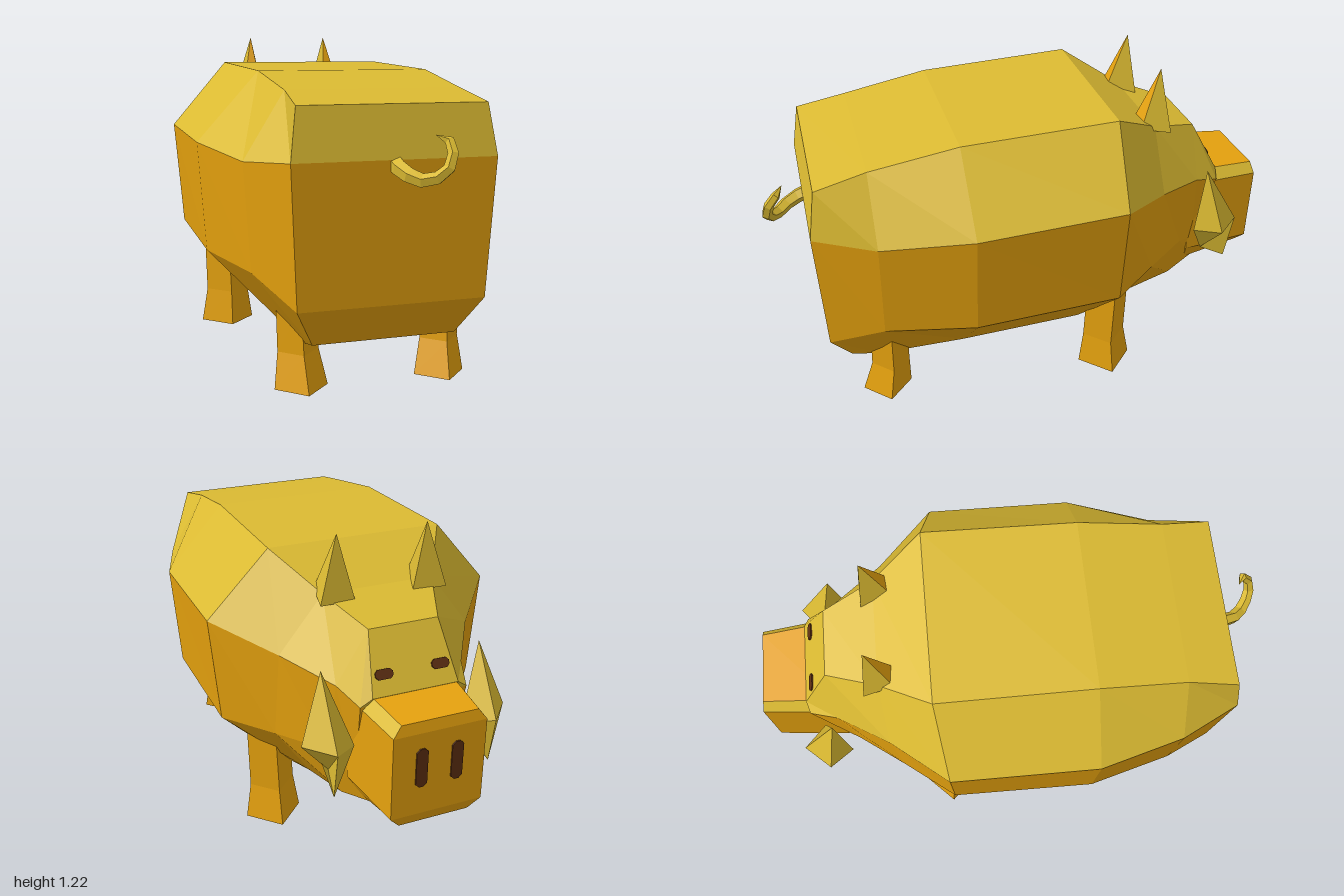
import * as THREE from 'three';

// Lofts equal-sized even rings (clockwise seen from the first end) into a flat-faced closed skin.
// tint(j) picks material 0 or 1 for the band after ring point j; cap(j) for the end strips.
function loft(rings, tint = () => 0, cap = tint) {
  const lists = [[], []];
  const quad = (m, a, b, c, d) => lists[m].push(...a, ...b, ...c, ...a, ...c, ...d);
  const n = rings[0].length;
  for (let i = 0; i < rings.length - 1; i++) {
    for (let j = 0; j < n; j++) {
      const k = (j + 1) % n;
      quad(tint(j), rings[i][j], rings[i][k], rings[i + 1][k], rings[i + 1][j]);
    }
  }
  const s = rings[0], e = rings[rings.length - 1];
  for (let j = 0; j < n / 2 - 1; j++) {
    quad(cap(j), s[j], s[n - 1 - j], s[n - 2 - j], s[j + 1]);
    quad(cap(j), e[j + 1], e[n - 2 - j], e[n - 1 - j], e[j]);
  }
  const geo = new THREE.BufferGeometry();
  geo.setAttribute('position', new THREE.Float32BufferAttribute([...lists[0], ...lists[1]], 3));
  geo.addGroup(0, lists[0].length / 3, 0);
  geo.addGroup(lists[0].length / 3, lists[1].length / 3, 1);
  geo.computeVertexNormals();
  return geo;
}

const flip = ([x, y, z]) => [-x, y, z];
// Completes a half ring (top to bottom on +x) with its mirror image
const fullRing = half => [...half, ...half.map(flip).reverse()];
const mirrorRings = rings => rings.map(r => r.map(flip).reverse());

export function createModel() {
  const model = new THREE.Group();
  const yellow = new THREE.MeshStandardMaterial({ color: 0xdcbb32, flatShading: true });
  const orange = new THREE.MeshStandardMaterial({ color: 0xe6a20e, flatShading: true });
  const brown = new THREE.MeshStandardMaterial({ color: 0x5c2e12 });
  yellow.name = 'yellow hide';
  orange.name = 'orange hide';
  brown.name = 'dark brown';

  const add = (name, geo, mat) => {
    const mesh = new THREE.Mesh(geo, mat);
    mesh.name = name;
    model.add(mesh);
    return mesh;
  };
  const addPair = (name, rings, mat, tint) => {
    add(name + 'Left', loft(rings, tint), mat);
    add(name + 'Right', loft(mirrorRings(rings), tint), mat);
  };
  const upperBands = j => (j === 0 || j === 6 || j === 7 ? 0 : 1);

  // Body and head: octagonal sections from rump to muzzle (top, upper side, lower side, belly)
  const body = [
    [[0.335, 1.0, 0.81], [0.36, 0.82, 0.84], [0.335, 0.33, 0.82], [0.26, 0.19, 0.74]],
    [[0.32, 1.04, 0.62], [0.465, 0.805, 0.62], [0.44, 0.425, 0.62], [0.26, 0.165, 0.63]],
    [[0.33, 1.095, 0.29], [0.56, 0.84, 0.29], [0.53, 0.44, 0.29], [0.26, 0.16, 0.29]],
    [[0.335, 1.115, -0.3], [0.56, 0.86, -0.27], [0.525, 0.455, -0.27], [0.26, 0.175, -0.2]],
    [[0.21, 1.0, -0.5], [0.37, 0.79, -0.49], [0.38, 0.46, -0.46], [0.22, 0.22, -0.4]],
    [[0.13, 0.94, -0.7], [0.24, 0.745, -0.69], [0.25, 0.465, -0.64], [0.19, 0.265, -0.63]],
    [[0.16, 0.74, -0.81], [0.2, 0.71, -0.8], [0.18, 0.42, -0.73], [0.13, 0.29, -0.76]],
  ].map(fullRing);
  add('body', loft(body, upperBands, j => (j === 0 ? 0 : 1)), [yellow, orange]);

  // Snout with yellow upper bevels
  const snout = [
    [[0.165, 0.745, -0.7], [0.2, 0.7, -0.7], [0.2, 0.38, -0.7], [0.15, 0.3, -0.72]],
    [[0.14, 0.73, -0.98], [0.17, 0.69, -0.988], [0.17, 0.38, -0.988], [0.13, 0.335, -0.97]],
  ].map(fullRing);
  add('snout', loft(snout, j => (j === 0 || j === 6 ? 0 : 1), () => 1), [yellow, orange]);

  // Legs: square posts turned 45 degrees, flared at the foot; each level is [y, radius, x, z]
  const leg = levels => levels.map(([y, r, x, z]) => [0, 1, 2, 3].map(k => {
    const a = k * Math.PI / 2;
    return [x + r * Math.cos(a), y, z - r * Math.sin(a)];
  }));
  addPair('frontLeg', leg([
    [0, 0.11, 0.34, -0.295], [0.14, 0.088, 0.34, -0.288], [0.42, 0.085, 0.35, -0.29],
  ]), [orange, orange]);
  addPair('backLeg', leg([
    [0, 0.097, 0.262, 0.612], [0.13, 0.075, 0.268, 0.592], [0.3, 0.072, 0.275, 0.59],
  ]), [orange, orange]);

  // Upright spikes on the brow, orange on the side toward the rump
  const tip = [0.17, 1.22, -0.523];
  addPair('browSpike', [
    [[0.11, 0.98, -0.55], [0.145, 1.0, -0.43], [0.22, 1.0, -0.44], [0.24, 0.98, -0.555]],
    [tip, tip, tip, tip],
  ], [yellow, orange], j => (j === 1 ? 1 : 0));

  // Pointed ears beside the cheeks
  const earLow = [0.28, 0.44, -0.72], earFront = [0.3, 0.395, -0.82], earTip = [0.3, 0.82, -0.7];
  addPair('ear', [
    [earLow, earFront, earFront, earLow],
    [[0.39, 0.575, -0.75], [0.3, 0.575, -0.85], [0.205, 0.55, -0.77], [0.32, 0.56, -0.66]],
    [earTip, earTip, earTip, earTip],
  ], [yellow, yellow]);

  // Curly tail, tapering to its tip
  const path = new THREE.CatmullRomCurve3([
    [0, 0.81, 0.81], [0.005, 0.785, 0.88], [0.05, 0.762, 0.94], [0.11, 0.79, 0.975],
    [0.138, 0.85, 0.965], [0.135, 0.892, 0.93], [0.1, 0.905, 0.91],
  ].map(p => new THREE.Vector3(...p)));
  const segs = 8, sides = 5;
  const tail = new THREE.TubeGeometry(path, segs, 0.03, sides);
  const pos = tail.attributes.position, v = new THREE.Vector3();
  for (let i = 0; i < pos.count; i++) {
    const t = Math.floor(i / (sides + 1)) / segs;
    const c = path.getPointAt(t);
    v.fromBufferAttribute(pos, i).sub(c).multiplyScalar(t === 1 ? 0.01 : 1 - 0.5 * t).add(c);
    pos.setXYZ(i, v.x, v.y, v.z);
  }
  add('tail', tail, yellow);

  // Eyes on the sloping face and nostrils on the snout disc, as thin plates
  const plate = (w, h) => {
    const c = Math.min(w, h) * 0.3, x = w / 2, y = h / 2;
    const shape = new THREE.Shape([
      [x, c - y], [x, y - c], [x - c, y], [c - x, y], [-x, y - c], [-x, c - y], [c - x, -y], [x - c, -y],
    ].map(p => new THREE.Vector2(...p)));
    const geo = new THREE.ExtrudeGeometry(shape, { depth: 0.008, bevelEnabled: false });
    return geo.translate(0, 0, -0.004);
  };
  for (const [side, s] of [['Left', 1], ['Right', -1]]) {
    const eye = add('eye' + side, plate(0.065, 0.035), brown);
    eye.position.set(s * 0.105, 0.805, -0.776);
    eye.rotation.x = Math.atan2(0.11, 0.2);
    const nostril = add('nostril' + side, plate(0.042, 0.145), brown);
    nostril.position.set(s * 0.065, 0.56, -0.989);
  }
  return model;
}
